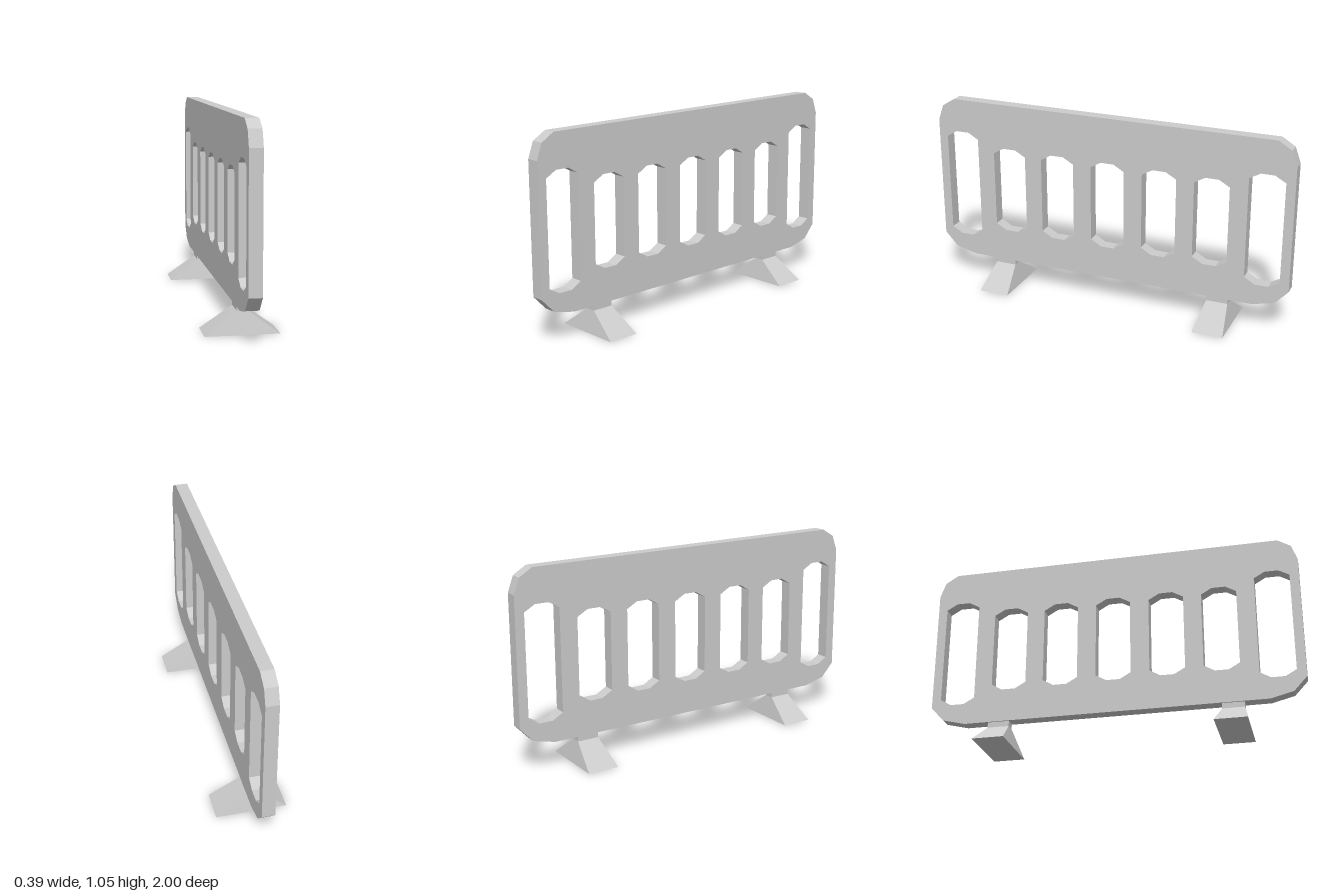
import * as THREE from 'three';

const material = new THREE.MeshStandardMaterial({ color: 0xcccccc, flatShading: true });
const THICKNESS = 0.067;

// Rounded-end slot centred at z = c
function slot(c, halfWidth, bottom, top) {
  const flat = 0.036, rise = 0.033;
  return new THREE.Path([
    [-halfWidth, bottom + rise], [-flat, bottom], [flat, bottom], [halfWidth, bottom + rise],
    [halfWidth, top - rise], [flat, top], [-flat, top], [-halfWidth, top - rise],
  ].map(([x, y]) => new THREE.Vector2(c + x, y)));
}

// Box whose top face is narrowed to the given size, standing on y = 0
function taperedBox(width, depth, height, topWidth, topDepth) {
  const geometry = new THREE.BoxGeometry(width, height, depth).translate(0, height / 2, 0);
  const p = geometry.attributes.position;
  for (let i = 0; i < p.count; i++) {
    if (p.getY(i) > height / 2) {
      p.setX(i, p.getX(i) * topWidth / width);
      p.setZ(i, p.getZ(i) * topDepth / depth);
    }
  }
  geometry.computeVertexNormals();
  return geometry;
}

export function createModel() {
  const barrier = new THREE.Group();
  barrier.name = 'barrier';

  // Panel with chamfered corners, outlined in z and y
  const half = [[0.81, 0.145], [0.93, 0.175], [1, 0.25], [1, 0.925], [0.97, 1.007], [0.9, 1.05]];
  const mirrored = half.map(([z, y]) => [-z, y]).reverse();
  const outline = new THREE.Shape([...half, ...mirrored].map(([z, y]) => new THREE.Vector2(z, y)));

  // Seven slots, the two end ones taller
  for (const c of [-0.573, -0.289, 0, 0.289, 0.573]) outline.holes.push(slot(c, 0.094, 0.325, 0.804));
  for (const c of [-0.857, 0.857]) outline.holes.push(slot(c, 0.094, 0.26, 0.868));

  const panelGeometry = new THREE.ExtrudeGeometry(outline, { depth: THICKNESS, bevelEnabled: false })
    .translate(0, 0, -THICKNESS / 2)
    .rotateY(-Math.PI / 2);
  const panel = new THREE.Mesh(panelGeometry, material);
  panel.name = 'panel';
  barrier.add(panel);

  // Two splayed feet, each with a short neck up to the panel
  for (const side of [1, -1]) {
    const foot = new THREE.Group();
    foot.name = side > 0 ? 'frontFoot' : 'backFoot';
    foot.position.z = side * 0.622;

    const base = new THREE.Mesh(taperedBox(0.37, 0.168, 0.116, 0.052, 0.116), material);
    base.name = 'footBase';
    const neck = new THREE.Mesh(new THREE.BoxGeometry(0.052, 0.03, 0.116), material);
    neck.name = 'footNeck';
    neck.position.y = 0.131;
    foot.add(base, neck);
    barrier.add(foot);
  }

  // The whole barrier stands very slightly turned
  barrier.rotation.y = -0.0113;
  const model = new THREE.Group();
  model.add(barrier);
  return model;
}
